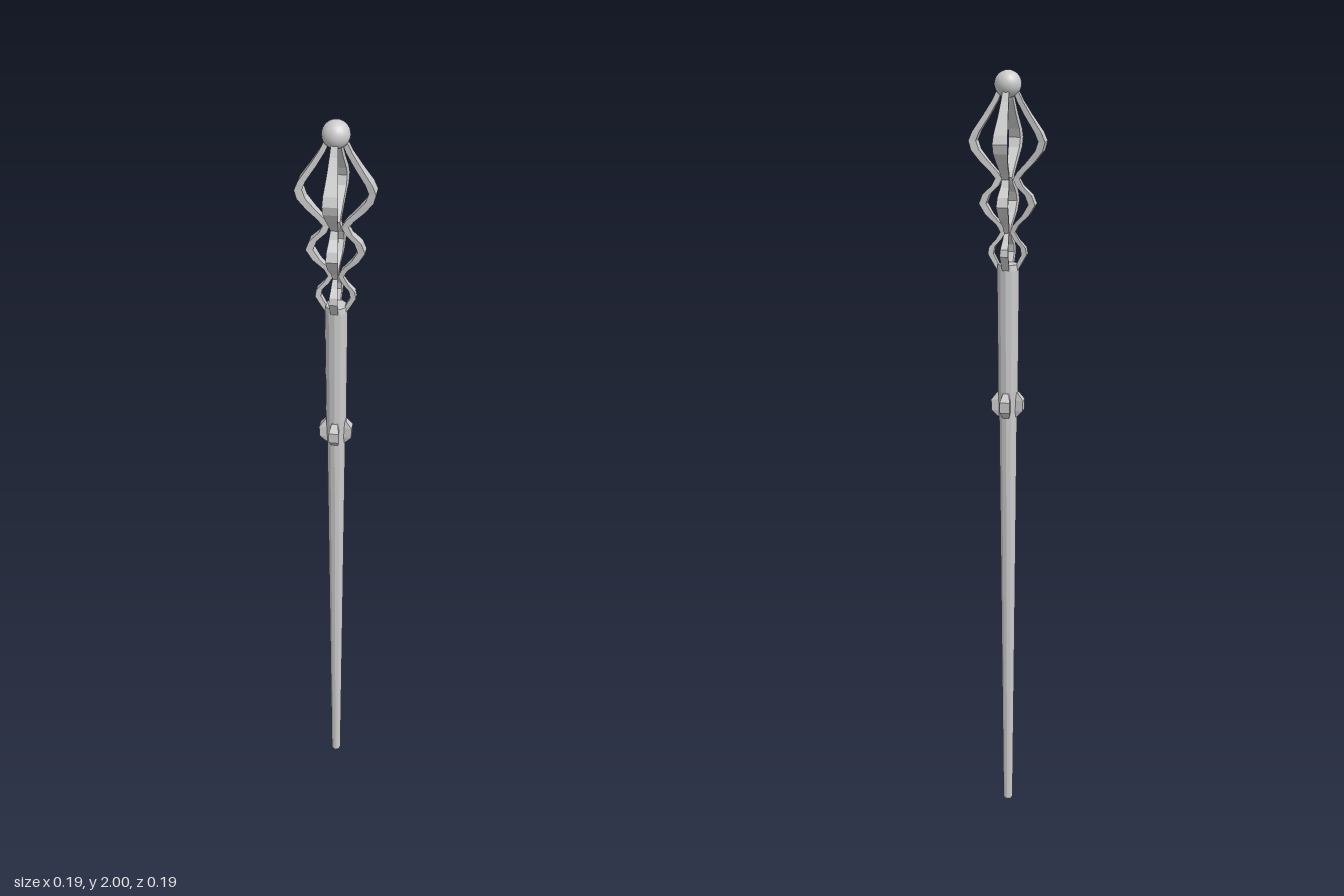
import * as THREE from 'three';

const grey = new THREE.MeshStandardMaterial({ color: 0xcccccc });
const facet = new THREE.MeshStandardMaterial({ color: 0xcccccc, flatShading: true });

function add(parent, name, geometry, material = grey) {
  const mesh = new THREE.Mesh(geometry, material);
  mesh.name = name;
  parent.add(mesh);
  return mesh;
}

// Wavy rib: a box whose rows follow [y, outer radius, half width, thickness]
function ribGeometry(rows) {
  const n = rows.length - 1;
  const geo = new THREE.BoxGeometry(1, 1, 1, 1, n, 1);
  const p = geo.attributes.position;
  for (let i = 0; i < p.count; i++) {
    const [y, r, w, t] = rows[Math.round((p.getY(i) + 0.5) * n)];
    const outer = p.getZ(i) > 0;
    p.setXYZ(i, Math.sign(p.getX(i)) * w * (outer ? 1 : 0.8), y, outer ? r : r - t);
  }
  geo.computeVertexNormals();
  return geo;
}

export function createModel() {
  const staff = new THREE.Group();
  staff.name = 'staff';

  // Tapered shaft with a softened foot and closed top
  const profile = [
    [0, 0], [0.011, 0], [0.013, 0.006], [0.0185, 0.55], [0.024, 1.13],
    [0.0265, 1.19], [0.029, 1.505], [0.027, 1.52], [0, 1.52],
  ].map(([r, y]) => new THREE.Vector2(r, y));
  add(staff, 'shaft', new THREE.LatheGeometry(profile, 12), facet);

  // Finial ball
  add(staff, 'finialBall', new THREE.SphereGeometry(0.034, 24, 16)).position.y = 1.966;

  const ribRows = [
    [1.505, 0.027, 0.009, 0.012],
    [1.522, 0.037, 0.010, 0.013],
    [1.545, 0.050, 0.011, 0.014],
    [1.563, 0.047, 0.010, 0.014],
    [1.582, 0.030, 0.008, 0.014],
    [1.600, 0.019, 0.006, 0.013],
    [1.618, 0.028, 0.008, 0.015],
    [1.645, 0.056, 0.013, 0.018],
    [1.672, 0.072, 0.015, 0.018],
    [1.695, 0.063, 0.014, 0.018],
    [1.717, 0.040, 0.011, 0.018],
    [1.735, 0.031, 0.009, 0.017],
    [1.752, 0.044, 0.011, 0.019],
    [1.778, 0.070, 0.014, 0.021],
    [1.805, 0.091, 0.018, 0.020],
    [1.828, 0.097, 0.019, 0.018],
    [1.850, 0.088, 0.018, 0.018],
    [1.890, 0.061, 0.013, 0.017],
    [1.925, 0.039, 0.010, 0.015],
    [1.950, 0.027, 0.008, 0.013],
  ];
  const studRows = [
    [1.118, 0.025, 0.008, 0.012],
    [1.136, 0.041, 0.013, 0.028],
    [1.164, 0.042, 0.013, 0.029],
    [1.184, 0.027, 0.008, 0.012],
  ];
  const ribGeo = ribGeometry(ribRows);
  const studGeo = ribGeometry(studRows);

  // Four cage ribs and four shaft studs around the axis
  for (let i = 0; i < 4; i++) {
    add(staff, 'cageRib', ribGeo, facet).rotation.y = i * Math.PI / 2;
    add(staff, 'shaftStud', studGeo, facet).rotation.y = i * Math.PI / 2;
  }
  return staff;
}
